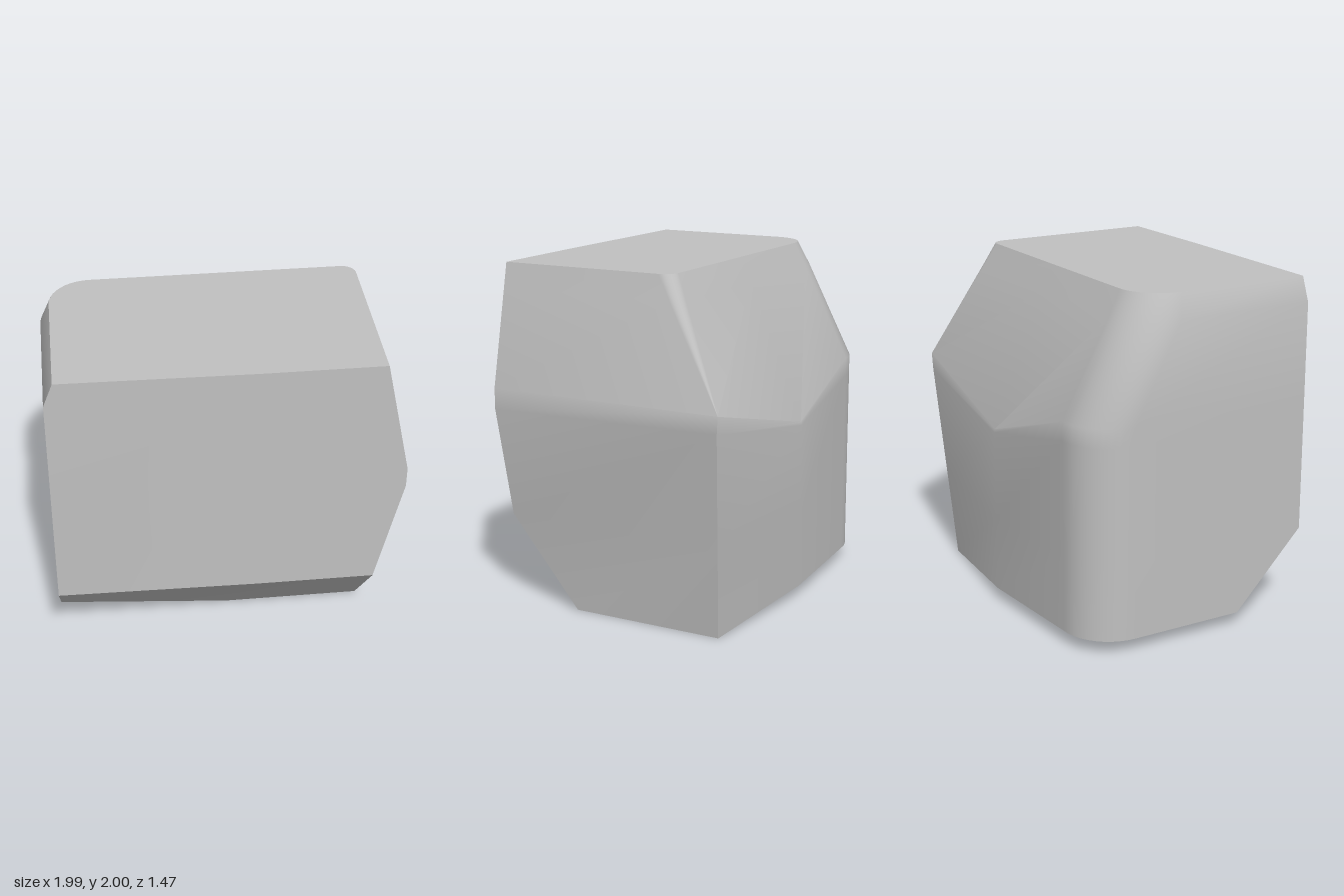
import * as THREE from 'three';
import { toCreasedNormals } from 'three/addons/utils/BufferGeometryUtils.js';

const STEPS = 10;

// Quarter-round corner as seen from above; quadrant 0 = +x/-z, 1 = -x/-z
function corner(x, z, r, y, quadrant) {
  const cx = quadrant === 0 ? x - r : x + r;
  return Array.from({ length: STEPS + 1 }, (_, i) => {
    const t = (quadrant + i / STEPS) * Math.PI / 2;
    return [cx + r * Math.cos(t), y, z + r - r * Math.sin(t)];
  });
}

// One outline: front edge points, right back corner, back ridge, left back corner
function ring(front, right, ridge, left) {
  return [...front, ...corner(...right, 0), ridge, ...corner(...left, 1)];
}

function loft(rings) {
  const pos = [];
  const v = (p) => new THREE.Vector3(...p);
  const tri = (a, b, c) => {
    const area = v(b).sub(v(a)).cross(v(c).sub(v(a))).length();
    if (area > 1e-7) pos.push(...a, ...b, ...c);
  };
  const n = rings[0].length;
  // Walls
  for (let r = 0; r < rings.length - 1; r++) {
    const lo = rings[r], hi = rings[r + 1];
    for (let i = 0; i < n; i++) {
      const j = (i + 1) % n;
      tri(lo[i], lo[j], hi[j]);
      tri(lo[i], hi[j], hi[i]);
    }
  }
  // Underside fans from the front bend, top fans from the front corner
  const base = rings[0], top = rings[rings.length - 1];
  for (let i = 2; i < n; i++) tri(base[1], base[(i + 1) % n], base[i]);
  for (let i = 1; i < n - 1; i++) tri(top[0], top[i], top[i + 1]);

  const geo = new THREE.BufferGeometry();
  geo.setAttribute('position', new THREE.Float32BufferAttribute(pos, 3));
  return toCreasedNormals(geo, THREE.MathUtils.degToRad(31));
}

export function createModel() {
  const grey = new THREE.MeshStandardMaterial({ color: 0xc0c0c0 });
  grey.name = 'plainGrey';

  // Front edge at one height: left end, slight bend, right end
  const front = (y, xl, xr) => [[xl, y, 0.715], [0.15, y, 0.735], [xr, y, 0.735]];
  const foot = [[-1, 0.08, 0.29], [0.03, 0, 0.3], [0.84, 0, 0.3]];

  const body = new THREE.Mesh(loft([
    // Base and its raised back lip
    ring(foot, [0.84, -0.62, 0, 0], [0.03, 0, -0.62], [-1, -0.69, 0.29, 0.08]),
    ring(foot, [0.84, -0.62, 0, 0], [0.03, 0.07, -0.735], [-1, -0.69, 0.29, 0.08]),
    // Top of the front chamfer
    ring(front(0.52, -1, 0.84), [0.905, -0.648, 0, 0.52], [0.03, 0.52, -0.735], [-1, -0.69, 0.29, 0.52]),
    // Widest band
    ring(front(1.18, -1, 0.99), [0.99, -0.684, 0, 1.2], [0.03, 1.05, -0.735], [-1, -0.69, 0.29, 1.2]),
    ring(front(1.3, -1, 0.99), [0.99, -0.69, 0, 1.3], [0.03, 1.07, -0.73], [-1, -0.69, 0.29, 1.31]),
    // Sloped shoulder and flat top
    ring(front(1.86, -1, 0.87), [0.87, -0.4, 0.064, 1.86], [0.03, 1.86, -0.4], [-1, -0.4, 0.28, 1.86]),
    ring(front(2, -0.945, 0.84), [0.84, -0.33, 0.08, 2], [0.03, 2, -0.33], [-0.945, -0.33, 0.24, 2]),
  ]), grey);
  body.name = 'facetedBlock';

  const group = new THREE.Group();
  group.name = 'chamferedBlock';
  group.add(body);
  return group;
}
